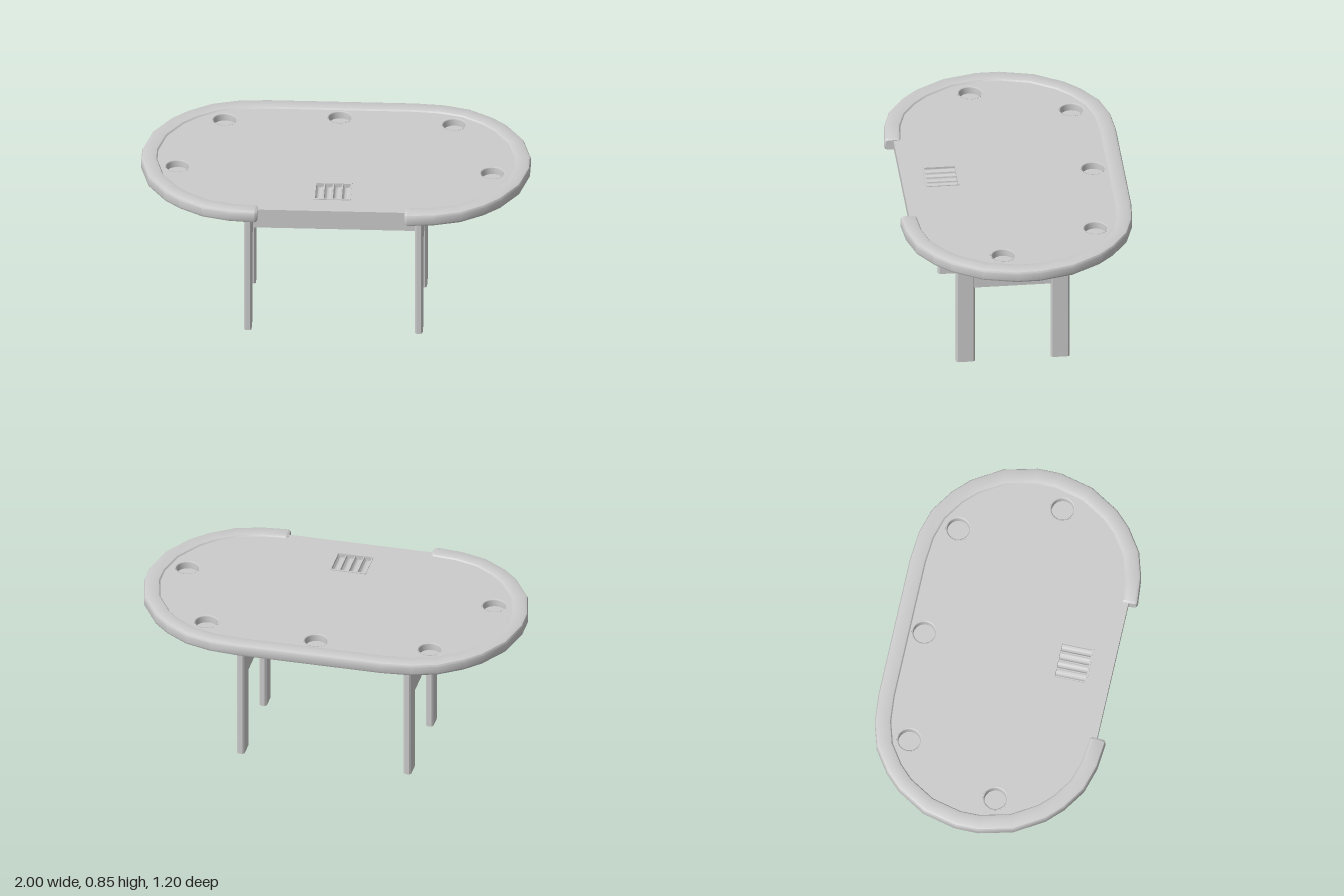
import * as THREE from 'three';
import { toCreasedNormals } from 'three/addons/utils/BufferGeometryUtils.js';

const mat = new THREE.MeshStandardMaterial({ color: 0xcccccc });

// One end of the oval, from the straight side to the tip (x, z)
const QUARTER = [[0.38, 0.598], [0.53, 0.585], [0.665, 0.545], [0.785, 0.465], [0.865, 0.385], [0.957, 0.235], [1, 0.06]];

// Open outline: front +x end, round the back, to the front -x end
function outline() {
  const right = [...QUARTER, ...QUARTER.map(([x, z]) => [x, -z]).reverse()];
  const pts = [...right, ...right.map(([x, z]) => [-x, z]).reverse()];
  return pts.map((p, i) => {
    const dir = (a, b) => new THREE.Vector2(b[0] - a[0], b[1] - a[1]).normalize();
    const t0 = i ? dir(pts[i - 1], p) : new THREE.Vector2(1, 0);
    const t1 = i < pts.length - 1 ? dir(p, pts[i + 1]) : new THREE.Vector2(1, 0);
    const t = t0.clone().add(t1).normalize();
    const k = 1 / t.dot(t0);
    return { p, inward: [t.y * k, -t.x * k] };
  });
}

const inset = (s, d) => [s.p[0] + s.inward[0] * d, s.p[1] + s.inward[1] * d];

// Padded rail: a rounded section swept along the outline, with softened ends
function railGeometry() {
  const section = [[0.016, 0.784], [0.005, 0.788], [0, 0.798], [0, 0.836], [0.005, 0.846], [0.016, 0.851],
    [0.066, 0.851], [0.078, 0.848], [0.085, 0.84], [0.085, 0.784]];
  const stations = outline();
  const rings = stations.map((s) => ({ s, scale: 1, dx: 0 }));
  const first = rings[0], last = rings[rings.length - 1];
  first.dx = 0.012;
  last.dx = -0.012;
  rings.unshift({ s: first.s, scale: 0.82, dx: 0 });
  rings.push({ s: last.s, scale: 0.82, dx: 0 });
  const pos = [], idx = [], n = section.length;
  for (const { s, scale, dx } of rings) {
    for (const [d, y] of section) {
      const [x, z] = inset(s, 0.0425 + (d - 0.0425) * scale);
      pos.push(x + dx, 0.8175 + (y - 0.8175) * scale, z);
    }
  }
  for (let i = 0; i < rings.length - 1; i++) {
    for (let j = 0; j < n; j++) {
      const k = (j + 1) % n, a = i * n, b = a + n;
      idx.push(a + j, b + j, b + k, a + j, b + k, a + k);
    }
  }
  const e = (rings.length - 1) * n;
  for (let j = 1; j < n - 1; j++) idx.push(0, j, j + 1, e, e + j + 1, e + j);
  const g = new THREE.BufferGeometry();
  g.setAttribute('position', new THREE.Float32BufferAttribute(pos, 3));
  g.setIndex(idx);
  return toCreasedNormals(g, 0.5);
}

const TRAY = { x: 0, z: 0.345, w: 0.185, d: 0.17 };
const CUPS = [[-0.59, -0.39], [0, -0.44], [0.59, -0.39], [-0.81, 0.11], [0.81, 0.11]];
const CUP_R = 0.065;

function rectPath(P, cx, cy, w, d) {
  const p = new P();
  p.moveTo(cx - w / 2, cy - d / 2);
  p.lineTo(cx + w / 2, cy - d / 2);
  p.lineTo(cx + w / 2, cy + d / 2);
  p.lineTo(cx - w / 2, cy + d / 2);
  p.closePath();
  return p;
}

// Horizontal slab from a plan shape drawn in (x, -z)
function slab(shape, y0, y1) {
  const g = new THREE.ExtrudeGeometry(shape, { depth: y1 - y0, bevelEnabled: false, curveSegments: 24 });
  return g.rotateX(-Math.PI / 2).translate(0, y0, 0);
}

function deckShape() {
  return new THREE.Shape(outline().map((s) => {
    const [x, z] = inset(s, 0.047);
    return new THREE.Vector2(x, -z);
  }));
}

// Leg: upright post with chamfered vertical edges
function legGeometry(w, d, h, c) {
  const x = w / 2, z = d / 2;
  const shape = new THREE.Shape([[x, z - c], [x - c, z], [c - x, z], [-x, z - c], [-x, c - z], [c - x, -z], [x - c, -z], [x, c - z]]
    .map(([a, b]) => new THREE.Vector2(a, b)));
  return slab(shape, 0, h);
}

export function createModel() {
  const group = new THREE.Group();
  const add = (name, geometry, x = 0, y = 0, z = 0) => {
    const m = new THREE.Mesh(geometry, mat);
    m.name = name;
    m.position.set(x, y, z);
    group.add(m);
  };

  add('paddedRail', railGeometry());

  // Playing surface with cup and tray openings, over a closed base layer
  const top = deckShape();
  for (const [x, z] of CUPS) {
    const hole = new THREE.Path();
    hole.absarc(x, -z, CUP_R, 0, Math.PI * 2, true);
    top.holes.push(hole);
  }
  top.holes.push(rectPath(THREE.Path, TRAY.x, -TRAY.z, TRAY.w, TRAY.d));
  add('playingSurface', slab(top, 0.803, 0.841));
  add('deckBase', slab(deckShape(), 0.797, 0.803));

  // Thin liners inside the cup openings
  const liner = [[CUP_R - 0.008, 0], [CUP_R - 0.008, 0.034], [CUP_R - 0.004, 0.0385], [CUP_R, 0.0385]]
    .map(([r, y]) => new THREE.Vector2(r, y));
  for (const [x, z] of CUPS) {
    const g = new THREE.LatheGeometry(liner.slice().reverse(), 24);
    const m = new THREE.Mesh(g, mat.clone());
    m.material.side = THREE.DoubleSide;
    m.name = 'cupHolder';
    m.position.set(x, 0.803, z);
    group.add(m);
  }

  // Chip tray: four round-bottomed troughs side by side
  const pitch = TRAY.w / 4, r = pitch / 2 - 0.003, h = 0.038;
  const profile = new THREE.Shape();
  profile.moveTo(-TRAY.w / 2, 0);
  profile.lineTo(TRAY.w / 2, 0);
  profile.lineTo(TRAY.w / 2, h);
  for (let i = 3; i >= 0; i--) {
    const cx = (i - 1.5) * pitch;
    profile.lineTo(cx + r, h);
    profile.absarc(cx, h, r, 0, -Math.PI, true);
  }
  profile.lineTo(-TRAY.w / 2, h);
  profile.closePath();
  const trough = new THREE.ExtrudeGeometry(profile, { depth: TRAY.d - 0.012, bevelEnabled: false, curveSegments: 10 });
  add('chipTray', toCreasedNormals(trough, 0.6), TRAY.x, 0.803, TRAY.z - TRAY.d / 2 + 0.006);
  const rim = rectPath(THREE.Shape, TRAY.x, -TRAY.z, TRAY.w + 0.006, TRAY.d + 0.006);
  rim.holes.push(rectPath(THREE.Path, TRAY.x, -TRAY.z, TRAY.w - 0.008, TRAY.d - 0.012));
  add('chipTrayRim', slab(rim, 0.805, 0.845));

  // Mounting plate under the deck
  add('mountingPlate', new THREE.BoxGeometry(0.99, 0.02, 0.66), 0, 0.787, 0.02);

  // Legs and the rails that tie each pair
  for (const side of [1, -1]) {
    for (const z of [0.268, -0.222]) {
      add(z > 0 ? 'frontLeg' : 'backLeg', legGeometry(0.04, 0.098, 0.78, 0.009), side * 0.44, 0, z);
    }
    add('endRail', new THREE.BoxGeometry(0.03, 0.1, 0.4), side * 0.44, 0.49, 0.023);
  }

  // Long stretcher between the end rails
  add('stretcher', new THREE.BoxGeometry(0.86, 0.08, 0.035), 0, 0.49, 0.023);

  return group;
}
